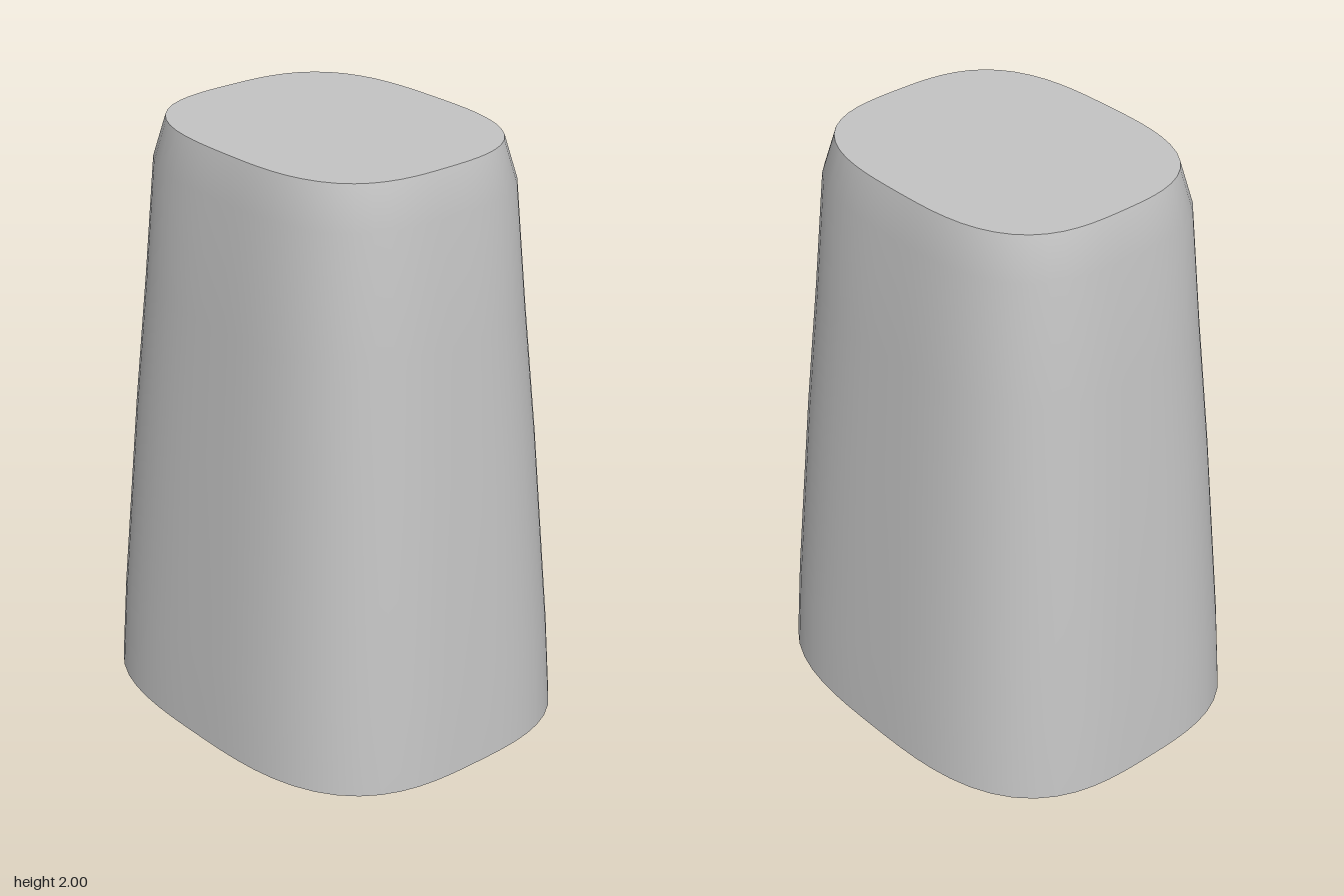
import * as THREE from 'three';

const SEGMENTS = 64;
const POWER = 3; // squareness of the rounded-rectangle section

// Height, half width, half depth of each section
const SECTIONS = [
  [0, 0.6, 0.73],
  [0.3, 0.584, 0.71],
  [1, 0.532, 0.652],
  [1.45, 0.495, 0.607],
  [1.86, 0.465, 0.57],
  [2, 0.43, 0.527],
];

// Superellipse point on a section
function sectionPoint([y, a, b], i) {
  const t = (i / SEGMENTS) * Math.PI * 2;
  const bend = (v) => Math.sign(v) * Math.abs(v) ** (2 / POWER);
  // normalise by radius for an even spread of points
  const c = Math.cos(t), s = Math.sin(t);
  const r = (Math.abs(c) ** POWER + Math.abs(s) ** POWER) ** (-1 / POWER);
  return POWER === 2 ? [a * bend(c), y, b * bend(s)] : [a * c * r, y, b * s * r];
}

// Smooth wall lofted through all sections, with shared seam vertices
function wallGeometry() {
  const positions = [], indices = [];
  SECTIONS.forEach((section, row) => {
    for (let i = 0; i < SEGMENTS; i++) {
      positions.push(...sectionPoint(section, i));
      if (row === 0) continue;
      const j = (i + 1) % SEGMENTS;
      const low = (row - 1) * SEGMENTS, high = row * SEGMENTS;
      indices.push(low + i, high + i, low + j, low + j, high + i, high + j);
    }
  });
  const geometry = new THREE.BufferGeometry();
  geometry.setAttribute('position', new THREE.Float32BufferAttribute(positions, 3));
  geometry.setIndex(indices);
  geometry.computeVertexNormals();
  return geometry;
}

// Flat cap on one section, facing up or down
function capGeometry(section, up) {
  const positions = [0, section[0], 0], indices = [];
  for (let i = 0; i < SEGMENTS; i++) {
    positions.push(...sectionPoint(section, i));
    const p = i + 1, q = ((i + 1) % SEGMENTS) + 1;
    indices.push(0, ...(up ? [q, p] : [p, q]));
  }
  const geometry = new THREE.BufferGeometry();
  geometry.setAttribute('position', new THREE.Float32BufferAttribute(positions, 3));
  geometry.setIndex(indices);
  geometry.computeVertexNormals();
  return geometry;
}

export function createModel() {
  const group = new THREE.Group();
  group.name = 'taperedBlock';
  const grey = new THREE.MeshStandardMaterial({ color: 0xc4c4c4 });
  grey.name = 'light grey';

  const add = (name, geometry) => {
    const mesh = new THREE.Mesh(geometry, grey);
    mesh.name = name;
    group.add(mesh);
  };
  add('wall', wallGeometry());
  add('topFace', capGeometry(SECTIONS[SECTIONS.length - 1], true));
  add('bottomFace', capGeometry(SECTIONS[0], false));
  return group;
}
